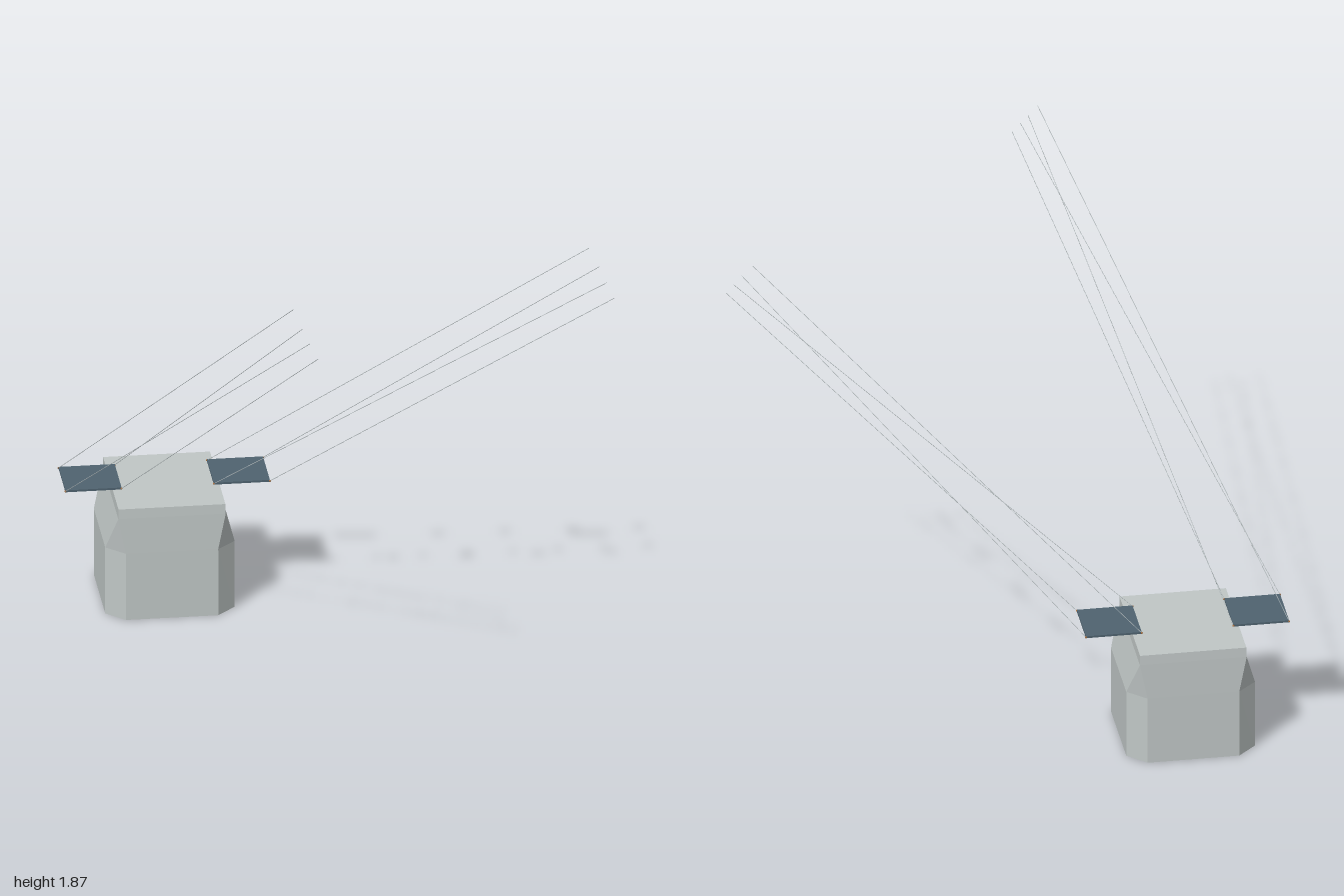
import * as THREE from 'three';

const V = (x, y, z) => new THREE.Vector3(x, y, z);

// Eight-point cross-section: half width and depth, and where the cut corners start
function ring(y, hx, hz, cx, cz) {
  return [[hx, cz], [cx, hz], [-cx, hz], [-hx, cz], [-hx, -cz], [-cx, -hz], [cx, -hz], [hx, -cz]]
    .map(([x, z]) => V(x, y, z));
}

// Joins the cross-sections from bottom to top and caps both ends
function loft(rings) {
  const pts = [];
  const top = rings[rings.length - 1];
  const c0 = V(0, rings[0][0].y, 0), c1 = V(0, top[0].y, 0);
  const tri = (a, b, c) => {
    const area = b.clone().sub(a).cross(c.clone().sub(a)).length();
    if (area > 1e-8) pts.push(a, b, c);
  };
  for (let j = 0; j < 8; j++) {
    const k = (j + 1) % 8;
    for (let i = 0; i < rings.length - 1; i++) {
      const a = rings[i][j], b = rings[i][k], c = rings[i + 1][k], d = rings[i + 1][j];
      tri(a, d, c);
      tri(a, c, b);
    }
    tri(c0, rings[0][j], rings[0][k]);
    tri(c1, top[k], top[j]);
  }
  const g = new THREE.BufferGeometry().setFromPoints(pts);
  g.computeVertexNormals();
  return g;
}

export function createModel() {
  const model = new THREE.Group();
  const mat = (name, color, flatShading = false) => {
    const m = new THREE.MeshStandardMaterial({ color, flatShading });
    m.name = name;
    return m;
  };
  const bodyGrey = mat('body grey', 0xc0c7c6, true);
  const panelBlue = mat('panel slate blue', 0x4f6370, true);
  const wireGrey = mat('wire grey', 0xb4bcbe);
  const copper = mat('copper', 0xa87040);

  const add = (parent, name, geometry, material, pos) => {
    const mesh = new THREE.Mesh(geometry, material);
    mesh.name = name;
    mesh.position.copy(pos);
    parent.add(mesh);
    return mesh;
  };

  // Body with cut corners that close to points below the top
  add(model, 'body', loft([
    ring(0, 0.247, 0.246, 0.176, 0.177),
    ring(0.275, 0.247, 0.244, 0.176, 0.177),
    ring(0.42, 0.205, 0.241, 0.205, 0.241),
    ring(0.459, 0.204, 0.239, 0.204, 0.239),
  ]), bodyGrey, V(-0.608, 0, -0.713));

  // Panels with a wire from each corner; ends follow the corner order below
  const corners = [[-1, -1], [1, -1], [-1, 1], [1, 1]];
  const panels = [
    { name: 'rightPanel', x: -0.891, ends: [
      V(-0.307, 1.874, 0.851), V(-0.278, 1.811, 0.895), V(-0.254, 1.762, 0.926), V(-0.227, 1.711, 0.957)] },
    { name: 'leftPanel', x: -0.325, ends: [
      V(0.914, 1.705, 0.077), V(0.95, 1.645, 0.118), V(0.976, 1.592, 0.149), V(0.999, 1.54, 0.182)] },
  ];
  const y = 0.485, z = -0.713, half = 0.107;
  const plate = new THREE.BoxGeometry(half * 2, 0.008, half * 2);
  const joint = new THREE.SphereGeometry(0.004, 8, 6);
  const up = V(0, 1, 0);

  for (const { name, x, ends } of panels) {
    const group = new THREE.Group();
    group.name = name;
    model.add(group);
    add(group, 'plate', plate, panelBlue, V(x, y, z));
    corners.forEach(([sx, sz], i) => {
      const start = V(x + sx * half, y, z + sz * half);
      add(group, 'cornerJoint', joint, copper, start);
      const dir = ends[i].clone().sub(start);
      const wire = add(group, 'wire', new THREE.CylinderGeometry(0.0012, 0.0012, dir.length(), 6),
        wireGrey, start.clone().add(ends[i]).multiplyScalar(0.5));
      wire.quaternion.setFromUnitVectors(up, dir.normalize());
    });
  }
  return model;
}
